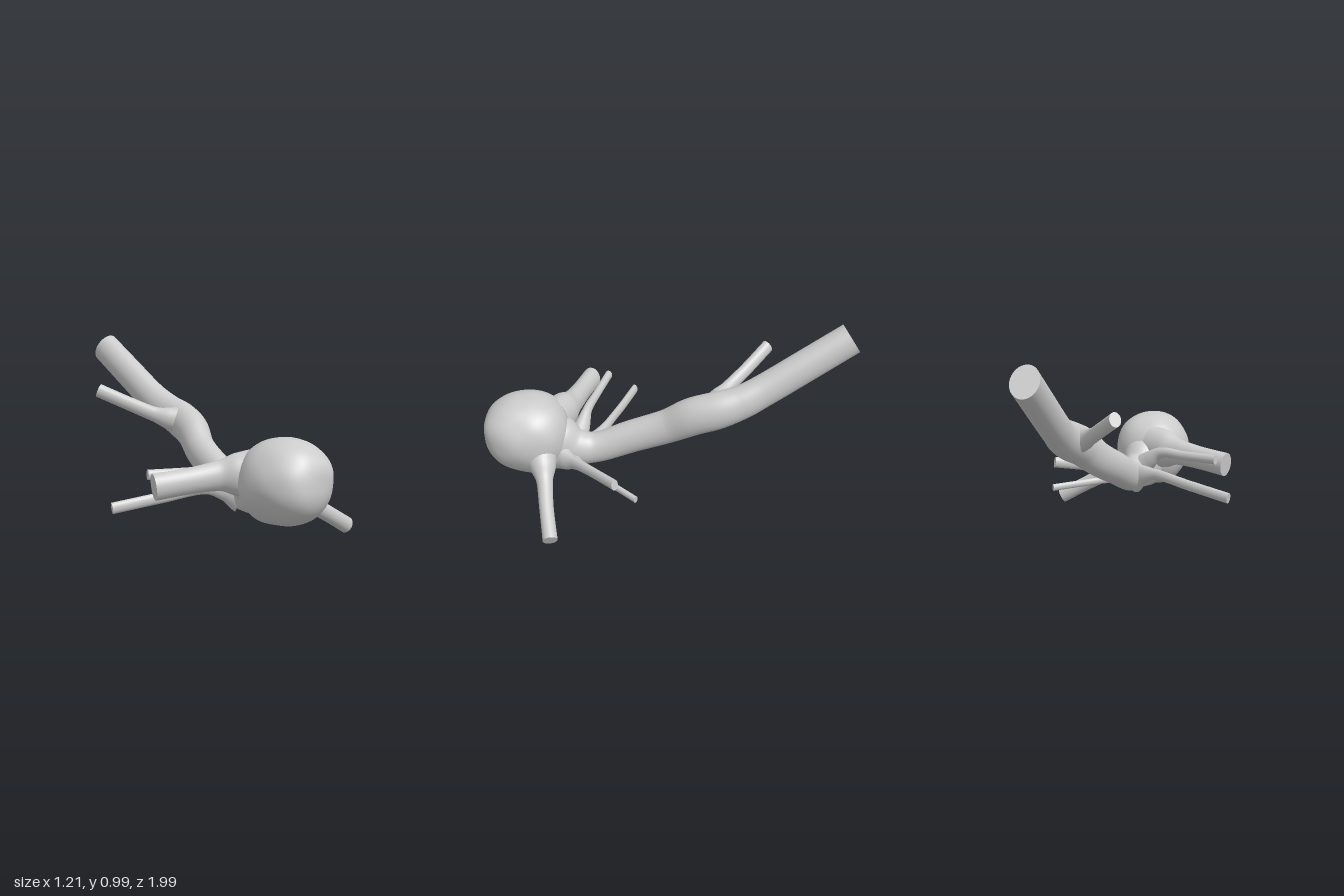
import * as THREE from 'three';
import { mergeVertices } from 'three/addons/utils/BufferGeometryUtils.js';

const material = new THREE.MeshStandardMaterial({ color: 0xcccccc });

// Smooth tube through [x, y, z, radius] stations; tall = height / width of its section
function vessel(name, stations, tall = 1, sides = 28) {
  const curve = new THREE.CatmullRomCurve3(stations.map(s => new THREE.Vector3(s[0], s[1], s[2])));
  const radii = new THREE.CatmullRomCurve3(
    stations.map(s => new THREE.Vector3(s[3], 0, 0)), false, 'catmullrom', 0.4);
  const rings = (stations.length - 1) * 10;
  const pos = [], index = [];
  const up = new THREE.Vector3(0, 1, 0), side = new THREE.Vector3(), lift = new THREE.Vector3();

  for (let i = 0; i <= rings; i++) {
    const t = i / rings, p = curve.getPoint(t), dir = curve.getTangent(t), r = radii.getPoint(t).x;
    side.crossVectors(up, dir).normalize();
    lift.crossVectors(dir, side);
    for (let j = 0; j < sides; j++) {
      const a = j / sides * Math.PI * 2;
      const v = p.clone().addScaledVector(side, r * Math.cos(a)).addScaledVector(lift, r * tall * Math.sin(a));
      pos.push(v.x, v.y, v.z);
      if (i < rings) {
        const n = (j + 1) % sides, b = i * sides, c = b + sides;
        index.push(b + j, b + n, c + j, b + n, c + n, c + j);
      }
    }
  }
  // Flat caps with their own vertices, so the cut edges stay sharp
  for (const [ring, flip] of [[0, true], [rings, false]]) {
    const base = pos.length / 3, c = curve.getPoint(ring / rings);
    pos.push(...pos.slice(ring * sides * 3, (ring + 1) * sides * 3), c.x, c.y, c.z);
    for (let j = 0; j < sides; j++) {
      const a = base + j, b = base + (j + 1) % sides;
      index.push(base + sides, flip ? b : a, flip ? a : b);
    }
  }
  const geo = new THREE.BufferGeometry();
  geo.setAttribute('position', new THREE.Float32BufferAttribute(pos, 3));
  geo.setIndex(index);
  geo.computeVertexNormals();
  const mesh = new THREE.Mesh(geo, material);
  mesh.name = name;
  return mesh;
}

// Lumpy, slightly squared balloon
function dome() {
  let geo = new THREE.IcosahedronGeometry(1, 28);
  geo.deleteAttribute('uv');
  geo.deleteAttribute('normal');
  geo = mergeVertices(geo, 1e-4);
  // Each lump: direction, height, tightness
  const lumps = [
    [-0.9, -0.15, -0.3, 0.07, 8], [-0.5, -0.75, -0.35, 0.05, 14], [0.4, -0.9, -0.2, 0.09, 10],
    [0.45, 0.35, 0.8, 0.05, 14], [-0.35, -0.3, 0.9, 0.04, 14], [-0.65, 0.55, 0.4, -0.05, 10],
    [0.75, 0.6, 0.2, -0.03, 12], [0.1, 0.1, 1, -0.02, 30], [-0.75, -0.6, 0.3, -0.05, 12],
    [0.8, -0.6, 0.2, -0.03, 12], [0.95, 0.05, 0.1, 0.02, 10],
  ].map(([x, y, z, h, k]) => ({ d: new THREE.Vector3(x, y, z).normalize(), h, k }));
  const p = geo.attributes.position, v = new THREE.Vector3();
  const e = 2.25;
  for (let i = 0; i < p.count; i++) {
    v.fromBufferAttribute(p, i).normalize();
    let r = Math.pow(Math.abs(v.x) ** e + Math.abs(v.y) ** e + Math.abs(v.z) ** e, -1 / e);
    for (const l of lumps) r += l.h * Math.exp(l.k * (v.dot(l.d) - 1));
    r += 0.008 * Math.sin(7 * v.x + 2) * Math.sin(6 * v.y + 1) * Math.sin(7 * v.z);
    p.setXYZ(i, 0.035 + v.x * r * 0.21, 0.365 + v.y * r * 0.214, 0.77 + v.z * r * 0.228);
  }
  geo.computeVertexNormals();
  const mesh = new THREE.Mesh(geo, material);
  mesh.name = 'dome';
  return mesh;
}

export function createModel() {
  const group = new THREE.Group();
  group.name = 'branchingVessel';

  group.add(dome());

  // Trunk, widening into the neck under the dome
  group.add(vessel('trunk', [
    [0.04, 0.33, 0.72, 0.13], [0.04, 0.29, 0.6, 0.125], [0.05, 0.255, 0.5, 0.088],
    [0.05, 0.25, 0.4, 0.074], [0.06, 0.325, 0.2, 0.077], [0.09, 0.41, 0, 0.08],
    [0.13, 0.495, -0.13, 0.088], [0.147, 0.54, -0.25, 0.088], [0.14, 0.585, -0.38, 0.08],
    [0.12, 0.645, -0.5, 0.076], [0.095, 0.78, -0.72, 0.075], [0.07, 0.92, -0.945, 0.074],
  ], 1.2, 40));

  // Side branches, each flared where it leaves the dome or trunk
  group.add(vessel('thickRightBranch', [
    [-0.02, 0.39, 0.63, 0.1], [-0.12, 0.385, 0.575, 0.085], [-0.2, 0.38, 0.535, 0.06],
    [-0.35, 0.362, 0.485, 0.052], [-0.512, 0.343, 0.432, 0.053]], 1.26));
  group.add(vessel('thinRightBranch', [
    [0.02, 0.28, 0.5, 0.06], [-0.05, 0.34, 0.47, 0.04], [-0.12, 0.385, 0.445, 0.025],
    [-0.28, 0.385, 0.395, 0.021], [-0.48, 0.385, 0.33, 0.021]], 1.25));
  group.add(vessel('longRightBranch', [
    [0.03, 0.24, 0.42, 0.06], [-0.04, 0.265, 0.375, 0.035], [-0.13, 0.277, 0.335, 0.02],
    [-0.35, 0.243, 0.26, 0.019], [-0.596, 0.205, 0.182, 0.019]], 1.55));
  group.add(vessel('lowerLeftBranch', [
    [0.14, 0.29, 0.7, 0.1], [0.22, 0.245, 0.68, 0.07], [0.29, 0.203, 0.67, 0.044],
    [0.42, 0.134, 0.658, 0.038], [0.583, 0.045, 0.635, 0.039]], 1.12));
  group.add(vessel('upperLeftBranch', [
    [0.08, 0.25, 0.62, 0.075], [0.15, 0.25, 0.56, 0.045], [0.21, 0.265, 0.51, 0.025],
    [0.33, 0.289, 0.413, 0.021], [0.48, 0.317, 0.295, 0.021]], 1.5));
  group.add(vessel('thinLeftBranch', [
    [0.08, 0.22, 0.57, 0.06], [0.14, 0.213, 0.51, 0.032], [0.19, 0.209, 0.453, 0.017],
    [0.3, 0.2, 0.338, 0.014], [0.443, 0.188, 0.187, 0.014]], 1.4));
  group.add(vessel('rearBranch', [
    [0.13, 0.545, -0.23, 0.07], [0.06, 0.56, -0.265, 0.05], [0, 0.582, -0.315, 0.034],
    [-0.1, 0.638, -0.425, 0.031], [-0.222, 0.71, -0.553, 0.031]], 1.25));

  return group;
}
